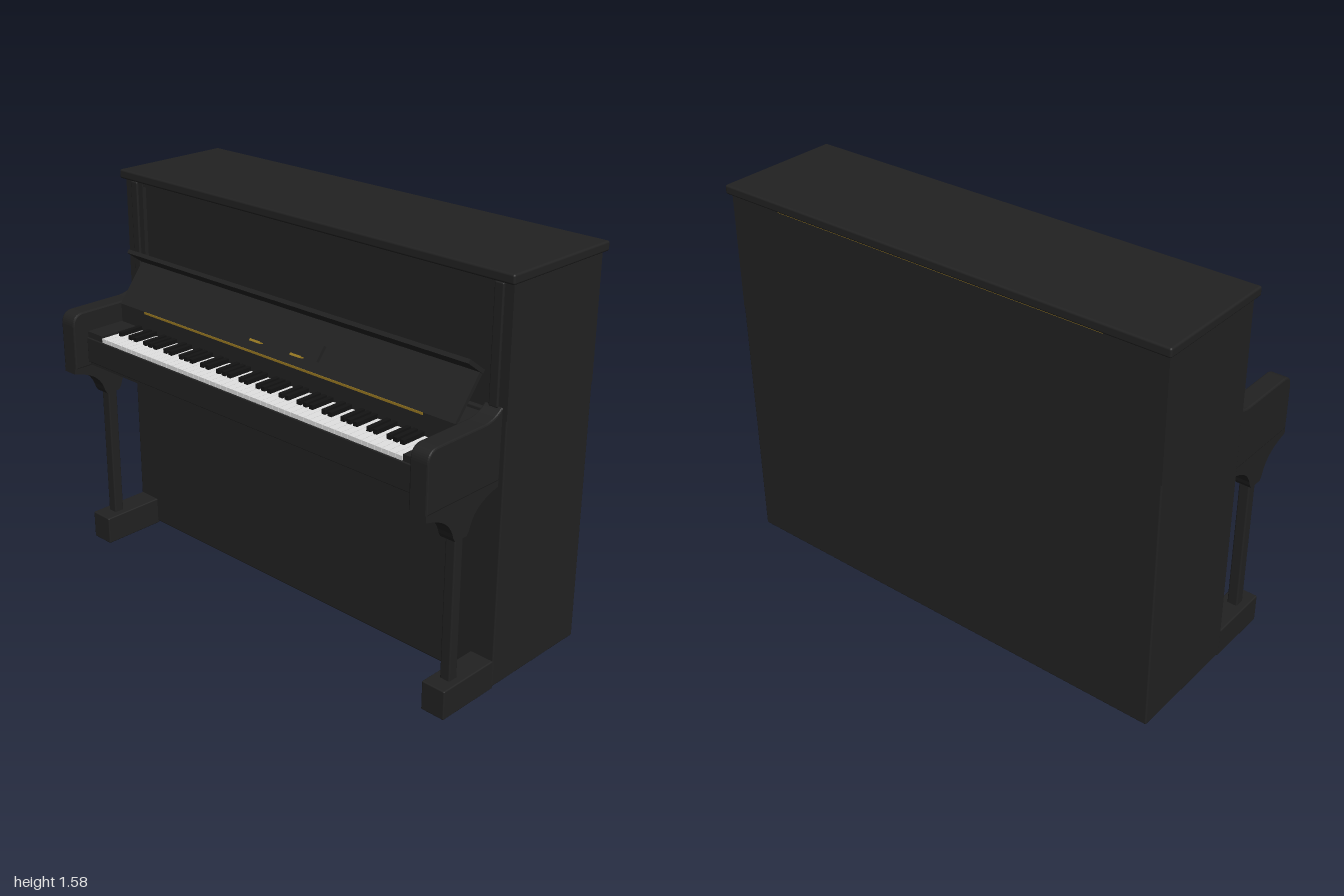
import * as THREE from 'three';
import { RoundedBoxGeometry } from 'three/addons/geometries/RoundedBoxGeometry.js';

const material = (name, color) => Object.assign(new THREE.MeshStandardMaterial({ color }), { name });

export function createModel() {
  const lacquer = material('black lacquer', 0x222222);
  const ebony = material('ebony', 0x131313);
  const ivory = material('ivory', 0xe2e2e2);
  const brass = material('brass', 0x9a7a22);
  const piano = new THREE.Group();
  piano.name = 'uprightPiano';

  const add = (name, geometry, mat, parent = piano) => {
    const mesh = new THREE.Mesh(geometry, mat);
    mesh.name = name;
    parent.add(mesh);
    return mesh;
  };
  // Box given by its limits on each axis, with optional rounded edges
  const block = (name, [x0, x1], [y0, y1], [z0, z1], mat = lacquer, radius = 0, parent = piano) => {
    const size = [x1 - x0, y1 - y0, z1 - z0];
    const geometry = radius ? new RoundedBoxGeometry(...size, 2, radius) : new THREE.BoxGeometry(...size);
    geometry.translate((x0 + x1) / 2, (y0 + y1) / 2, (z0 + z1) / 2);
    return add(name, geometry, mat, parent);
  };
  // Side profile drawn in (z, y), extruded along x from x0 to x1
  const profile = (name, shape, x0, x1, mat = lacquer, bevel = 0) => {
    const geometry = new THREE.ExtrudeGeometry(shape, {
      depth: x1 - x0 - 2 * bevel, curveSegments: 10, bevelEnabled: bevel > 0,
      bevelSize: bevel, bevelThickness: bevel, bevelOffset: -bevel, bevelSegments: 2,
    });
    geometry.rotateY(-Math.PI / 2).translate(x1 - bevel, 0, 0);
    return add(name, geometry, mat);
  };
  const polygon = (points) => new THREE.Shape(points.map(([z, y]) => new THREE.Vector2(z, y)));

  // Case with a slightly recessed upper panel, and the lid
  block('caseLower', [-0.985, 0.985], [0.01, 1.08], [-0.43, 0.068], lacquer, 0.006);
  block('caseUpper', [-0.985, 0.985], [1.06, 1.545], [-0.43, 0.05]);
  block('upperRail', [-0.9, 0.9], [1.525, 1.545], [0.04, 0.065]);
  block('lid', [-1, 1], [1.545, 1.582], [-0.45, 0.09], lacquer, 0.008);
  block('lidHinge', [-0.735, 0.735], [1.537, 1.545], [-0.435, -0.428], brass);

  // Curved cheek and leg bracket outlines
  const cheek = new THREE.Shape();
  cheek.moveTo(0.065, 0.835);
  cheek.lineTo(0.45, 0.835);
  cheek.lineTo(0.45, 1.02);
  cheek.quadraticCurveTo(0.448, 1.068, 0.4, 1.07);
  cheek.lineTo(0.155, 1.07);
  cheek.quadraticCurveTo(0.1, 1.073, 0.065, 1.108);
  const bracket = new THREE.Shape();
  bracket.moveTo(0.068, 0.838);
  bracket.lineTo(0.068, 0.812);
  bracket.bezierCurveTo(0.15, 0.795, 0.2, 0.765, 0.218, 0.7);
  bracket.lineTo(0.23, 0.683);
  bracket.lineTo(0.292, 0.683);
  bracket.lineTo(0.302, 0.7);
  bracket.bezierCurveTo(0.32, 0.765, 0.37, 0.795, 0.45, 0.812);
  bracket.lineTo(0.45, 0.838);

  // Each end: post, pilaster, cheek, bracket, leg, foot and key block
  for (const side of [-1, 1]) {
    const span = (a, b) => (side > 0 ? [a, b] : [-b, -a]);
    block('sidePost', span(0.885, 0.985), [1.06, 1.545], [0.03, 0.068]);
    block('pilaster', span(0.91, 0.948), [1.1, 1.54], [0.06, 0.077], lacquer, 0.005);
    profile('cheek', cheek, ...span(0.888, 0.966), lacquer, 0.006);
    profile('legBracket', bracket, ...span(0.9, 0.964));
    block('leg', span(0.91, 0.954), [0.11, 0.69], [0.234, 0.278], lacquer, 0.006);
    block('foot', span(0.88, 0.983), [0, 0.118], [0.06, 0.34], lacquer, 0.005);
    block('keyBlock', span(0.8, 0.89), [0.93, 0.985], [0.2, 0.38]);
  }

  // Key bed, key slip and the rail behind the keys
  block('keyBed', [-0.89, 0.89], [0.84, 0.945], [0.06, 0.375]);
  block('keySlip', [-0.89, 0.89], [0.855, 0.96], [0.37, 0.386], lacquer, 0.004);
  block('nameRail', [-0.885, 0.885], [0.94, 1.066], [0.06, 0.205]);
  block('brassStrip', [-0.735, 0.735], [1.053, 1.062], [0.203, 0.209], brass);

  // Open fallboard with its folded lip
  profile('fallboard', polygon([[0.212, 1.065], [0.195, 1.063], [0.068, 1.215], [0.085, 1.224]]), -0.88, 0.88);
  profile('fallboardLip', polygon([[0.08, 1.208], [0.162, 1.268], [0.152, 1.281], [0.07, 1.22]]), -0.885, 0.885);

  // Small music ledge standing off the fallboard on two hinges
  profile('musicLedge', polygon([[0.203, 1.106], [0.19, 1.1], [0.15, 1.149], [0.163, 1.158]]), -0.21, 0.228);
  for (const x of [-0.092, 0.122]) {
    profile('ledgeHinge', polygon([[0.209, 1.101], [0.174, 1.09], [0.168, 1.098], [0.203, 1.108]]), x - 0.027, x + 0.027, brass);
  }

  // Keyboard: 52 white keys, with black keys after A, C, D, F and G
  const keyboard = new THREE.Group();
  keyboard.name = 'keyboard';
  piano.add(keyboard);
  const pitch = 1.594 / 52;
  for (let i = 0; i < 52; i++) {
    const x = -0.797 + i * pitch;
    block('whiteKey', [x + 0.001, x + pitch - 0.001], [0.94, 0.977], [0.2, 0.381], ivory, 0, keyboard);
    if (i < 51 && [0, 2, 3, 5, 6].includes(i % 7)) {
      const edge = x + pitch;
      block('blackKey', [edge - 0.009, edge + 0.009], [0.97, 0.994], [0.2, 0.312], ebony, 0, keyboard);
    }
  }
  return piano;
}
